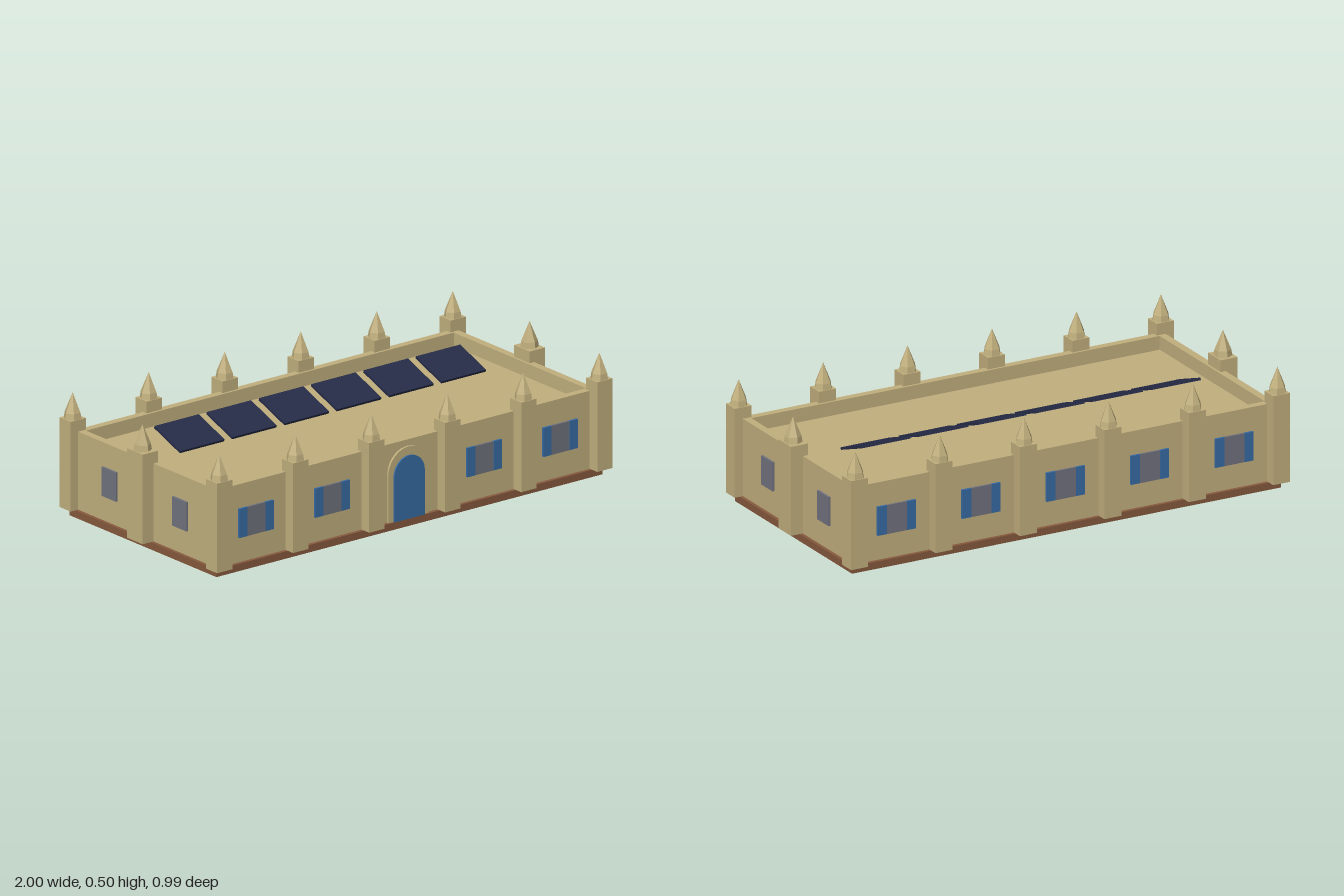
import * as THREE from 'three';

const mat = (name, color) => {
  const m = new THREE.MeshStandardMaterial({ color });
  m.name = name;
  return m;
};

export function createModel() {
  const model = new THREE.Group();
  model.name = 'fortHall';
  const sand = mat('sandstone', 0xc2b07e);
  const brick = mat('brownPlinth', 0x875a3e);
  const blue = mat('bluePaint', 0x386ca4);
  const glass = mat('greyGlass', 0x71737f);
  const solar = mat('navyPanel', 0x262c48);

  const add = (name, geo, material, x, y, z, parent = model) => {
    const mesh = new THREE.Mesh(geo, material);
    mesh.name = name;
    mesh.position.set(x, y, z);
    parent.add(mesh);
    return mesh;
  };
  const box = (name, w, h, d, material, x, y, z, parent) =>
    add(name, new THREE.BoxGeometry(w, h, d), material, x, y, z, parent);

  // Plinth, solid body up to the roof, and parapet walls
  const W = 0.946, D = 0.445, T = 0.032;
  box('plinth', 1.92, 0.03, 0.92, brick, 0, 0.015, 0);
  box('body', W * 2, 0.265, D * 2, sand, 0, 0.1625, 0);
  for (const s of [-1, 1]) {
    box('longParapet', W * 2, 0.057, T, sand, 0, 0.3235, s * (D - T / 2));
    box('shortParapet', T, 0.057, (D - T) * 2, sand, s * (W - T / 2), 0.3235, 0);
  }

  // Square piers with six-sided pointed caps
  const flatSand = sand.clone();
  flatSand.flatShading = true;
  const spireGeo = new THREE.LatheGeometry([
    new THREE.Vector2(0, 0), new THREE.Vector2(0.037, 0),
    new THREE.Vector2(0.033, 0.024), new THREE.Vector2(0, 0.105),
  ], 6).toNonIndexed();
  spireGeo.computeVertexNormals();
  const tower = (x, z, w, d, turn) => {
    const g = new THREE.Group();
    g.name = 'tower';
    g.position.set(x, 0, z);
    model.add(g);
    box('pier', w, 0.37, d, sand, 0, 0.215, 0, g);
    add('spire', spireGeo, sand, 0, 0.4, 0, g).rotation.y = turn;
  };
  for (const s of [-1, 1]) {
    for (let i = 0; i < 6; i++) tower(-0.945 + i * 0.378, s * 0.458, 0.076, 0.07, Math.PI / 2);
    tower(s * 0.962, 0, 0.076, 0.098, 0);
  }

  // Windows: grey pane, with a blue shutter at each side on the long walls
  const makeWindow = (x, z, angle, shutters) => {
    const g = new THREE.Group();
    g.name = 'window';
    g.position.set(x, 0.193, z);
    g.rotation.y = angle;
    model.add(g);
    box('pane', 0.09, 0.12, 0.009, glass, 0, 0, 0.0045, g);
    if (shutters) {
      for (const s of [-1, 1]) box('shutter', 0.04, 0.12, 0.0095, blue, s * 0.065, 0, 0.00475, g);
    }
  };
  for (let i = -2; i <= 2; i++) {
    if (i !== 0) makeWindow(i * 0.378, D, 0, true);
    makeWindow(i * 0.378, -D, Math.PI, true);
  }
  for (const s of [-1, 1]) {
    for (const t of [-1, 1]) makeWindow(s * W, t * 0.22, s * Math.PI / 2, false);
  }

  // Arched doorway: stone surround and blue door
  const arch = (r, spring, depth) => {
    const shape = new THREE.Shape();
    shape.moveTo(-r, 0.03);
    shape.lineTo(r, 0.03);
    shape.lineTo(r, spring);
    shape.absarc(0, spring, r, 0, Math.PI, false);
    shape.closePath();
    return new THREE.ExtrudeGeometry(shape, { depth, bevelEnabled: false, curveSegments: 10 });
  };
  add('doorSurround', arch(0.1, 0.226, 0.009), sand, 0, 0, D);
  add('door', arch(0.075, 0.216, 0.016), blue, 0, 0, D);

  // Row of tilted roof panels
  for (let i = 0; i < 6; i++) {
    box('solarPanel', 0.22, 0.01, 0.172, solar, -0.65 + i * 0.26, 0.368, -0.1, model)
      .rotation.x = 0.35;
  }
  return model;
}
